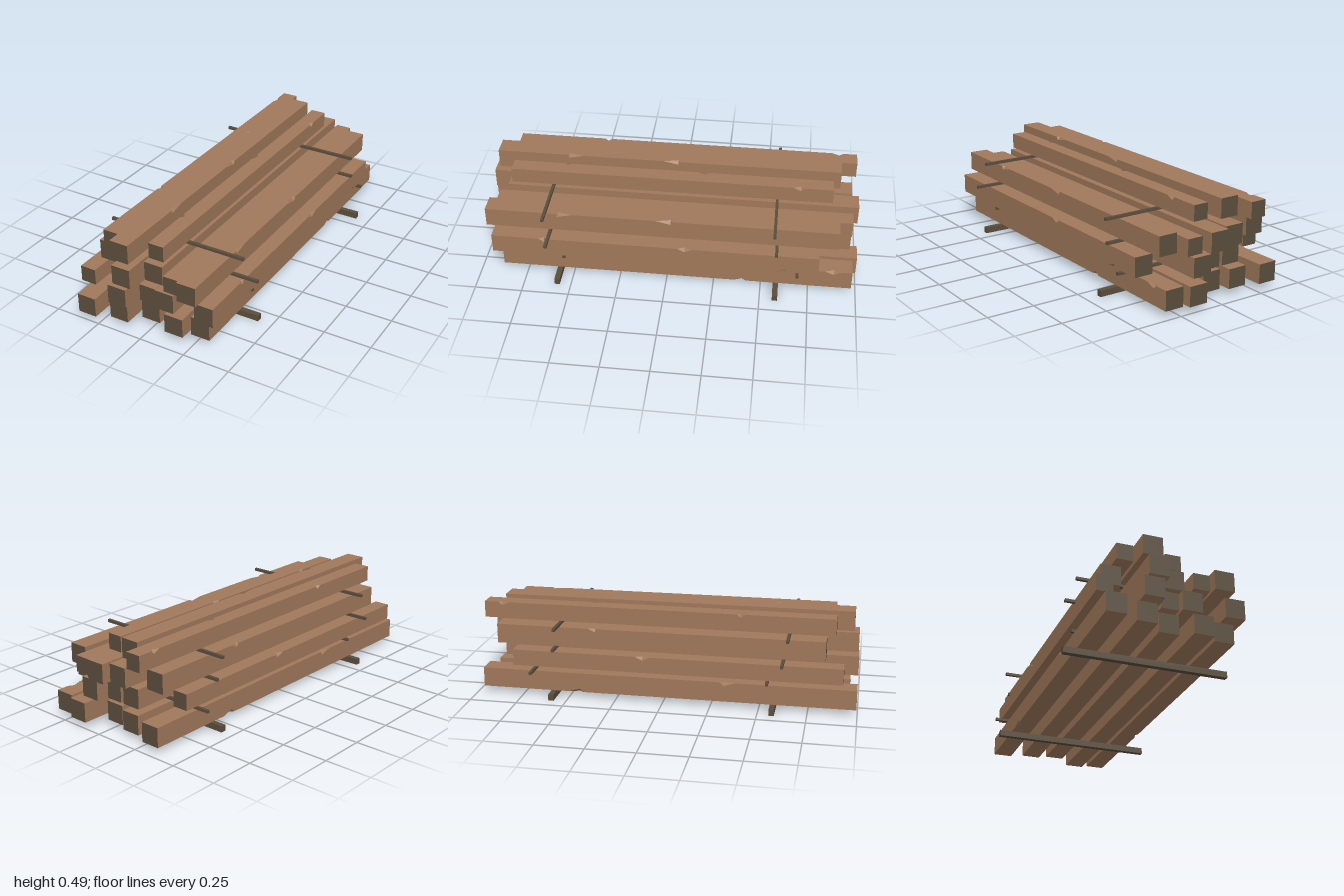
import * as THREE from 'three';

const wood = new THREE.MeshStandardMaterial({ color: 0xa0785a });
wood.name = 'sawn wood';
const dark = new THREE.MeshStandardMaterial({ color: 0x5a4d3c });
dark.name = 'dark end grain';

// Long edges of a timber, counter-clockwise seen from +z
const BR = 0, TR = 1, TL = 2, BL = 3;
const FULL = 0.103;
const CHIP_DEPTH = 0.018;

// Square timber along z; each chip [edge, deepest z, reach back, reach front] is cut from one edge
function beamGeometry(size, back, front, chips) {
  const h = size / 2;
  const stations = [back, front];
  for (const [, z, a, b] of chips) stations.push(z - a, z, z + b);
  stations.sort((a, b) => a - b);

  // Cross-sections: a square whose corners are bevelled where a chip is missing
  const rings = stations.map(s => {
    const [br, tr, tl, bl] = [BR, TR, TL, BL].map(edge => {
      let cut = 0;
      for (const [k, z, a, b] of chips) {
        if (k === edge) cut = Math.max(cut, CHIP_DEPTH * (1 - Math.abs(s - z) / (s < z ? a : b)));
      }
      return cut;
    });
    return [[h - br, -h], [h, br - h], [h, h - tr], [h - tr, h],
      [tl - h, h], [-h, h - tl], [-h, bl - h], [bl - h, -h]]
      .map(([x, y]) => new THREE.Vector3(x, y, s));
  });

  const pos = [];
  const tri = (a, b, c) => {
    if (new THREE.Triangle(a, b, c).getArea() < 1e-8) return;
    for (const p of [a, b, c]) pos.push(p.x, p.y, p.z);
  };
  for (let s = 0; s + 1 < rings.length; s++) {
    const r = rings[s], q = rings[s + 1];
    for (let i = 0; i < 8; i++) {
      const j = (i + 1) % 8;
      tri(r[i], r[j], q[j]);
      tri(r[i], q[j], q[i]);
    }
  }
  const sideCount = pos.length / 3;
  const first = rings[0], last = rings[rings.length - 1];
  for (let i = 1; i < 7; i++) {
    tri(last[0], last[i], last[i + 1]);
    tri(first[0], first[i + 1], first[i]);
  }
  const g = new THREE.BufferGeometry();
  g.setAttribute('position', new THREE.Float32BufferAttribute(pos, 3));
  g.computeVertexNormals();
  g.addGroup(0, sideCount, 0);
  g.addGroup(sideCount, pos.length / 3 - sideCount, 1);
  return g;
}

// One timber: centre x, back and front z, width, chips, lift above the layer's base
const timber = (x, back, front, size = FULL, chips = [], lift = 0) => {
  const mesh = new THREE.Mesh(beamGeometry(size, back, front, chips), [wood, dark]);
  mesh.position.set(x, size / 2 + lift, 0);
  mesh.name = 'timber';
  return mesh;
};

// One cross stick lying under a layer, its top level with the layer's base
const stick = (x0, x1, z, height = 0.015, depth = 0.015) => {
  const mesh = new THREE.Mesh(new THREE.BoxGeometry(x1 - x0, height, depth), dark);
  mesh.position.set((x0 + x1) / 2, -height / 2, z);
  mesh.name = 'crossStick';
  return mesh;
};

// A layer of parts resting at its own height in the stack
function layer(level, ...parts) {
  const group = new THREE.Group();
  group.name = `timberLayer${level + 1}`;
  group.position.y = 0.033 + 0.1185 * level;
  group.add(...parts);
  return group;
}

export function createModel() {
  const model = new THREE.Group();
  model.name = 'timberStack';

  // Bottom layer on two thick bearers
  model.add(layer(0,
    stick(-0.438, 0.426, 0.573, 0.033, 0.028),
    stick(-0.438, 0.426, -0.58, 0.033, 0.028),
    timber(-0.318, -0.965, 0.995, FULL, [[TL, 0.32, 0.02, 0.06], [BL, -0.44, 0.06, 0.02]]),
    timber(-0.153, -0.93, 0.955),
    timber(-0.014, -0.9, 0.88),
    timber(0.147, -1, 0.925),
    timber(0.271, -0.975, 0.88, FULL,
      [[TR, -0.88, 0.03, 0.05], [TR, 0.38, 0.01, 0.03], [BR, -0.4, 0.02, 0.04]])));

  // Second layer
  model.add(layer(1,
    stick(-0.385, 0.371, 0.54),
    stick(-0.438, 0.395, -0.687),
    timber(-0.35, -0.79, 0.925, 0.085, [[TL, -0.1, 0.04, 0.04]], 0.018),
    timber(-0.129, -0.9, 0.995),
    timber(-0.014, -0.9, 0.9, 0.091),
    timber(0.095, -0.96, 0.92),
    timber(0.317, -0.795, 0.92, FULL,
      [[TR, -0.1, 0.04, 0.04], [TR, 0.64, 0.01, 0.03], [BR, -0.62, 0.02, 0.04]])));

  // Third layer
  model.add(layer(2,
    stick(-0.445, 0.443, 0.618),
    stick(-0.4, 0.38, -0.575),
    timber(-0.285, -0.89, 0.83, FULL, [[TL, -0.36, 0.04, 0.01]]),
    timber(-0.101, -0.955, 0.99),
    timber(0.017, -0.99, 0.887),
    timber(0.142, -0.96, 0.925, 0.086),
    timber(0.248, -0.89, 0.96, FULL, [[TR, -0.02, 0.01, 0.08], [TR, 0.575, 0.08, 0.01]])));

  // Top layer
  model.add(layer(3,
    stick(-0.397, 0.375, 0.64),
    stick(-0.422, 0.379, -0.56),
    timber(-0.231, -0.975, 0.876, 0.086,
      [[TL, -0.88, 0.02, 0.04], [TL, 0.39, 0.02, 0.02], [TR, -0.39, 0.03, 0.02]]),
    timber(-0.122, -0.89, 0.965, FULL, [[TR, -0.02, 0.01, 0.08], [TR, 0.575, 0.08, 0.01]]),
    timber(0.022, -0.85, 0.865, 0.083,
      [[TR, -0.68, 0.02, 0.04], [TL, -0.17, 0.02, 0.04], [TL, 0.575, 0.03, 0.01]])));

  return model;
}
